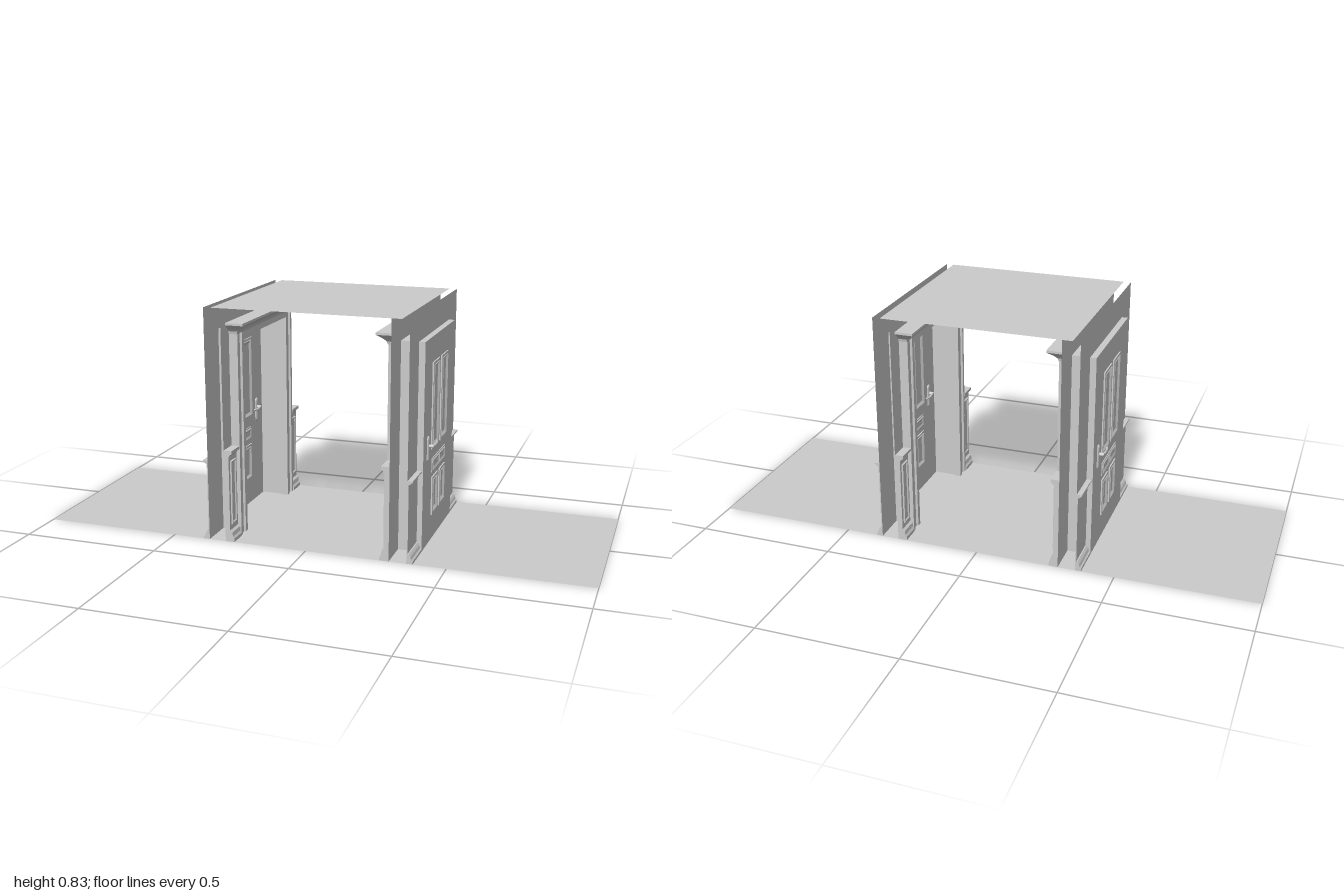
import * as THREE from 'three';

const mat = new THREE.MeshStandardMaterial({ color: 0xcccccc, side: THREE.DoubleSide });
const DEPTH = 0.335, TOP = 0.835;        // half depth and height of the passage
const INNER = 0.3, OUTER = 0.362;        // inner and outer wall skins
const BOX = { x0: 0.27, x1: 0.384, z: 0.215, y: 0.74 }; // door recess

function add(parent, name, geometry) {
  const m = new THREE.Mesh(geometry, mat);
  m.name = name;
  parent.add(m);
  return m;
}

// box given by its minimum and maximum corners
function block(parent, name, a, b) {
  const g = new THREE.BoxGeometry(b[0] - a[0], b[1] - a[1], b[2] - a[2]);
  return add(parent, name, g.translate((a[0] + b[0]) / 2, (a[1] + b[1]) / 2, (a[2] + b[2]) / 2));
}

// flat-shaded skin through four-cornered rings, closed at the last one
function loft(rings) {
  const p = [];
  const quad = (a, b, c, d) => p.push(...a, ...b, ...c, ...a, ...c, ...d);
  for (let r = 0; r + 1 < rings.length; r++) {
    for (let i = 0; i < 4; i++) {
      const j = (i + 1) % 4;
      quad(rings[r][i], rings[r][j], rings[r + 1][j], rings[r + 1][i]);
    }
  }
  quad(...rings[rings.length - 1]);
  const g = new THREE.BufferGeometry();
  g.setAttribute('position', new THREE.Float32BufferAttribute(p, 3));
  g.computeVertexNormals();
  return g;
}

// moulded panel on a face at x, raised in direction s; steps are [inset, height]
function panel(parent, name, x, s, [z0, z1], [y0, y1], steps) {
  const rings = steps.map(([n, h]) => {
    const za = s > 0 ? z1 - n : z0 + n, zb = s > 0 ? z0 + n : z1 - n;
    return [[x + s * h, y0 + n, za], [x + s * h, y0 + n, zb],
      [x + s * h, y1 - n, zb], [x + s * h, y1 - n, za]];
  });
  return add(parent, name, loft(rings));
}

// x/y profile run along z
function trim(parent, name, pts, z0, z1) {
  const s = new THREE.Shape(pts.map(([x, y]) => new THREE.Vector2(x, y)));
  const g = new THREE.ExtrudeGeometry(s, { depth: z1 - z0, bevelEnabled: false });
  return add(parent, name, g.translate(0, 0, z0));
}

// wall skin with the door opening cut out
function wall(parent, name, x) {
  const { z, y } = BOX;
  const s = new THREE.Shape([[-DEPTH, 0], [-z, 0], [-z, y], [z, y], [z, 0], [DEPTH, 0],
    [DEPTH, TOP], [-DEPTH, TOP]].map(([a, b]) => new THREE.Vector2(a, b)));
  add(parent, name, new THREE.ShapeGeometry(s).rotateY(Math.PI / 2).translate(x, 0, 0));
}

// back plate, spindle and curved lever
function handle(x, s) {
  const g = new THREE.Group();
  g.name = 'doorHandle';
  const plate = new THREE.CapsuleGeometry(0.0125, 0.068, 6, 16);
  add(g, 'handlePlate', plate.scale(0.5, 1, 1).translate(x, 0.355, 0.155));
  const spindle = new THREE.CylinderGeometry(0.006, 0.007, 0.022, 12).rotateZ(Math.PI / 2);
  add(g, 'handleSpindle', spindle.translate(x + s * 0.011, 0.366, 0.155));
  const path = new THREE.CatmullRomCurve3([[0.01, 0.366, 0.157], [0.02, 0.367, 0.15],
    [0.022, 0.369, 0.135], [0.021, 0.366, 0.115], [0.018, 0.368, 0.098]]
    .map(([a, b, c]) => new THREE.Vector3(x + s * a, b, c)));
  add(g, 'handleLever', new THREE.TubeGeometry(path, 24, 0.0038, 10));
  const end = path.getPoint(1);
  add(g, 'handleTip', new THREE.SphereGeometry(0.0038, 10, 8).translate(end.x, end.y, end.z));
  return g;
}

function door() {
  const g = new THREE.Group();
  g.name = 'door';
  const { x0, x1, z, y } = BOX, t = 0.004, back = x1 - 0.006;
  block(g, 'doorLeaf', [back, 0, -z], [x1, y, z]);
  for (const s of [-1, 1]) {
    block(g, 'jamb', [x0, 0, Math.min(s * z, s * (z - t))], [back, y, Math.max(s * z, s * (z - t))]);
  }
  block(g, 'recessTop', [x0, y - t, -z], [back, y, z]);

  // panels and handle on both faces
  const sunk = [[0, 0], [0, 0.005], [0.008, 0.005], [0.011, 0.007], [0.021, 0.001]];
  const small = [[0, 0.003], [0.004, 0.006], [0.018, 0.001]];
  for (const [x, s] of [[x1, 1], [back, -1]]) {
    panel(g, 'upperPanel', x, s, [0.015, 0.11], [0.34, 0.65], sunk);
    panel(g, 'upperPanel', x, s, [-0.105, -0.012], [0.34, 0.65], sunk);
    panel(g, 'middleFrame', x, s, [-0.092, 0.097], [0.253, 0.303], [[0, 0], [0, 0.003]]);
    panel(g, 'middlePanel', x, s, [0.003, 0.092], [0.257, 0.299], small);
    panel(g, 'middlePanel', x, s, [-0.088, -0.002], [0.257, 0.299], small);
    panel(g, 'lowerPanel', x, s, [0.015, 0.095], [0.095, 0.235], sunk);
    panel(g, 'lowerPanel', x, s, [-0.092, -0.012], [0.095, 0.235], sunk);
    g.add(handle(x, s));
  }
  return g;
}

// casing, crown and wainscot on the room side of the wall
function innerTrim() {
  const g = new THREE.Group();
  g.name = 'innerTrim';
  const { x0, y } = BOX;
  for (const s of [-1, 1]) {
    // stepped casing post, drawn in plan and run upwards
    const plan = [[0.205, INNER], [0.205, x0], [0.222, x0], [0.226, 0.277], [0.246, 0.277],
      [0.25, x0], [0.262, x0], [0.266, INNER]].map(([z, x]) => new THREE.Vector2(x, -s * z));
    const post = new THREE.ExtrudeGeometry(new THREE.Shape(plan), { depth: y, bevelEnabled: false });
    add(g, 'casingPost', post.rotateX(-Math.PI / 2));

    const z0 = s > 0 ? 0.266 : -DEPTH, z1 = s > 0 ? DEPTH : -0.266;
    trim(g, 'innerWainscot', [[INNER, 0], [0.267, 0], [0.267, 0.012], [0.272, 0.02], [0.274, 0.035],
      [0.282, 0.042], [0.282, 0.312], [0.276, 0.32], [0.27, 0.324], [0.27, 0.335], [INNER, 0.335]], z0, z1);
    panel(g, 'wainscotPanel', 0.282, -1, [z0 + 0.012, z1 - 0.012], [0.06, 0.295],
      [[0, 0], [0.002, 0.005], [0.006, 0.005], [0.01, 0.001]]);
  }
  block(g, 'casingHead', [x0, 0.715, -0.215], [INNER, y, 0.215]);

  // crown moulding, returned at both ends: [height, projection, half length]
  const rings = [[0.735, 0, 0.268], [0.735, 0.03, 0.268], [0.745, 0.034, 0.27], [0.75, 0.038, 0.274],
    [0.757, 0.046, 0.28], [0.766, 0.058, 0.292], [0.77, 0.064, 0.296], [0.778, 0.064, 0.296]]
    .map(([h, d, l]) => [[INNER - d, h, l], [INNER, h, l], [INNER, h, -l], [INNER - d, h, -l]]);
  add(g, 'crownMoulding', loft(rings));
  return g;
}

// baseboard and chair rail on the outside
function outerTrim() {
  const g = new THREE.Group();
  g.name = 'outerTrim';
  for (const [z0, z1] of [[BOX.z, DEPTH], [-DEPTH, -BOX.z]]) {
    trim(g, 'outerWainscot', [[OUTER, 0], [0.384, 0], [0.384, 0.009], [0.379, 0.014], [0.376, 0.025],
      [0.37, 0.034], [0.366, 0.036], [0.366, 0.279], [0.374, 0.283], [0.376, 0.286],
      [0.38, 0.288], [0.38, 0.293], [OUTER, 0.293]], z0, z1);
  }
  return g;
}

function wallSide() {
  const g = new THREE.Group();
  wall(g, 'innerWall', INNER);
  wall(g, 'outerWall', OUTER);
  g.add(door(), innerTrim(), outerTrim());
  return g;
}

export function createModel() {
  const model = new THREE.Group();
  model.name = 'doorPassage';
  const flat = (w) => new THREE.PlaneGeometry(w, DEPTH * 2).rotateX(-Math.PI / 2);
  add(model, 'floor', flat(2));
  add(model, 'ceiling', flat(0.67).translate(0, TOP, 0));

  // the second wall is the first turned half way round
  ['leftWall', 'rightWall'].forEach((name, i) => {
    const side = wallSide();
    side.name = name;
    side.rotation.y = i * Math.PI;
    model.add(side);
  });
  return model;
}
